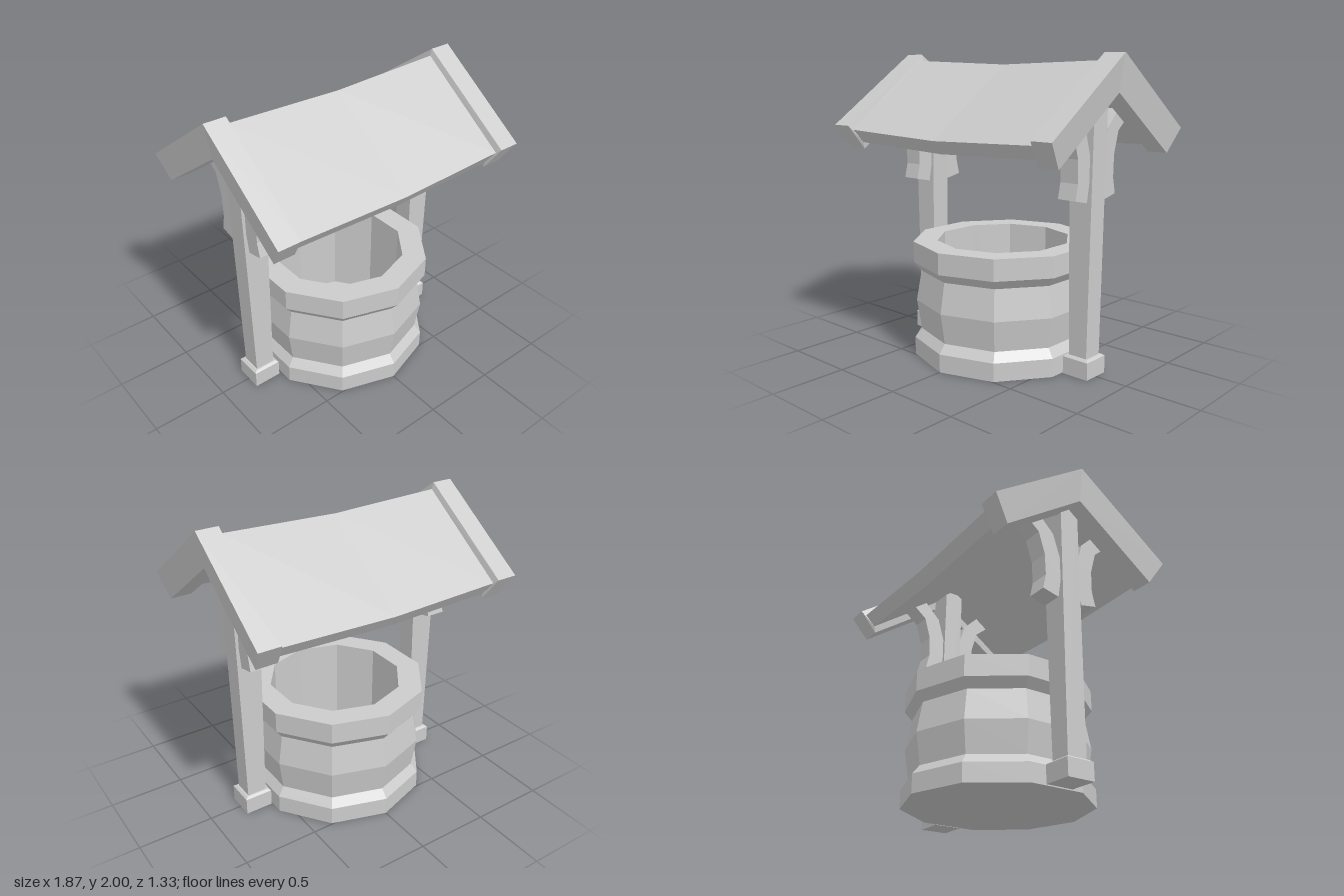
import * as THREE from 'three';

const material = new THREE.MeshStandardMaterial({ color: 0xcccccc, flatShading: true });

function addMesh(parent, name, geometry, x = 0, y = 0, z = 0) {
  const mesh = new THREE.Mesh(geometry, material);
  mesh.name = name;
  mesh.position.set(x, y, z);
  parent.add(mesh);
  return mesh;
}

// Box standing on y = 0 whose top has its own width and depth
function taperedBox(w0, d0, w1, d1, h) {
  const geo = new THREE.BoxGeometry(1, h, 1).translate(0, h / 2, 0);
  const p = geo.attributes.position;
  for (let i = 0; i < p.count; i++) {
    const top = p.getY(i) > h / 2;
    p.setX(i, p.getX(i) * (top ? w1 : w0));
    p.setZ(i, p.getZ(i) * (top ? d1 : d0));
  }
  geo.computeVertexNormals();
  return geo;
}

// Chevron cross-section: outer skin at x = xo, underside at x = xi
function chevron(xo, xi, ridge, eaveY, eaveZ, underRidge, underY, underZ) {
  return [
    [xo, eaveY, -eaveZ], [xo, ridge, 0], [xo, eaveY, eaveZ],
    [xi, underY, underZ], [xi, underRidge, 0], [xi, underY, -underZ],
  ];
}

// Closed solid through the chevron sections, ordered from -x to +x
function loftChevrons(sections) {
  const pos = [];
  const quad = (a, b, c, d) => pos.push(...a, ...b, ...c, ...a, ...c, ...d);
  for (let i = 0; i < sections.length - 1; i++) {
    const s = sections[i], t = sections[i + 1];
    for (let j = 0; j < 6; j++) {
      const k = (j + 1) % 6;
      quad(s[j], s[k], t[k], t[j]);
    }
  }
  const a = sections[0], b = sections[sections.length - 1];
  quad(b[0], b[1], b[4], b[5]);
  quad(b[1], b[2], b[3], b[4]);
  quad(a[5], a[4], a[1], a[0]);
  quad(a[4], a[3], a[2], a[1]);
  const geo = new THREE.BufferGeometry();
  geo.setAttribute('position', new THREE.Float32BufferAttribute(pos, 3));
  geo.computeVertexNormals();
  return geo;
}

// Curved brace drawn in the z-y plane, extruded along x
function braceGeometry(side, width) {
  const outline = [
    [0.09, 1.115], [0.205, 1.14], [0.182, 1.24], [0.186, 1.385], [0.228, 1.53],
    [0.35, 1.63], [0.25, 1.69], [0.115, 1.555], [0.068, 1.4], [0.068, 1.24],
  ];
  const shape = new THREE.Shape(outline.map(([z, y]) => new THREE.Vector2(z * side, y)));
  const geo = new THREE.ExtrudeGeometry(shape, { depth: width, bevelEnabled: false });
  return geo.translate(0, 0, -width / 2).rotateY(-Math.PI / 2);
}

export function createModel() {
  const model = new THREE.Group();
  model.name = 'well';

  // Ten-sided stone wall with plinth, bulging middle, rim and open shaft
  const profile = [
    [0, 0], [0.61, 0], [0.61, 0.12], [0.563, 0.178], [0.595, 0.38], [0.56, 0.58],
    [0.61, 0.64], [0.61, 0.78], [0.45, 0.78], [0.45, 0.1], [0, 0.1],
  ].map(([r, y]) => new THREE.Vector2(r, y));
  addMesh(model, 'wellWall', new THREE.LatheGeometry(profile, 10));

  // Posts with feet and a pair of braces on each side
  for (const [label, x] of [['left', 0.682], ['right', -0.695]]) {
    const support = new THREE.Group();
    support.name = label + 'Support';
    support.position.x = x;
    model.add(support);
    addMesh(support, 'foot', taperedBox(0.188, 0.188, 0.188, 0.188, 0.113));
    addMesh(support, 'footBevel', taperedBox(0.188, 0.188, 0.155, 0.155, 0.012), 0, 0.113);
    addMesh(support, 'post', taperedBox(0.132, 0.136, 0.187, 0.136, 1.68), 0, 0.12);
    addMesh(support, 'frontBrace', braceGeometry(1, 0.13));
    addMesh(support, 'backBrace', braceGeometry(-1, 0.13));
  }

  // Sagging gabled roof with thicker end caps
  const cap = (xo, xi) => chevron(xo, xi, 2, 1.53, 0.667, 1.77, 1.373, 0.562);
  const slab = (xo, xi, sag) =>
    chevron(xo, xi, 1.955 - sag, 1.502 - sag, 0.634, 1.83 - sag, 1.418 - sag, 0.575);
  addMesh(model, 'roof', loftChevrons([
    cap(-0.933, -0.897), cap(-0.787, -0.757), slab(-0.776, -0.75, 0),
    slab(0, 0, 0.025),
    slab(0.776, 0.75, 0), cap(0.787, 0.757), cap(0.933, 0.897),
  ]));

  return model;
}
